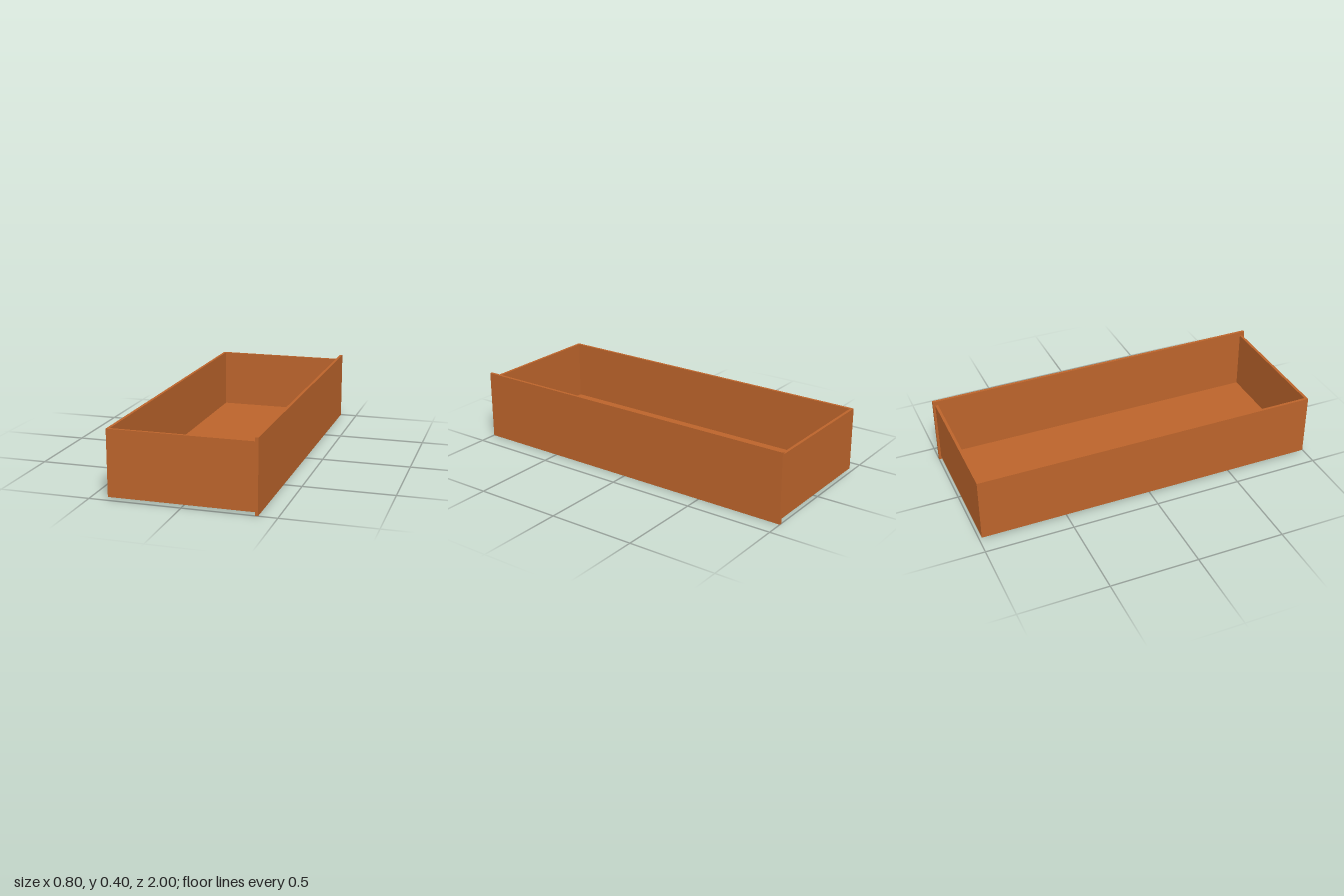
import * as THREE from 'three';

export function createModel() {
  const group = new THREE.Group();
  const wood = new THREE.MeshStandardMaterial({ color: 0xbc642b });
  wood.name = 'brown wood';

  // Box given by its lower and upper corners
  const board = (name, min, max) => {
    const size = max.map((v, i) => v - min[i]);
    const mesh = new THREE.Mesh(new THREE.BoxGeometry(...size), wood);
    mesh.position.set(...max.map((v, i) => (v + min[i]) / 2));
    mesh.name = name;
    group.add(mesh);
  };

  const t = 0.016; // board thickness
  const back = -0.4, panel = 0.384; // tray extent along x
  const low = 0.014, high = 0.376; // tray extent along y
  const half = 0.987; // tray half width along z

  // Overhanging panel that closes the tray on +x
  board('facePanel', [panel, 0, -1], [0.4, 0.4, 1]);

  // Tray: floor, rear wall and the two mirrored end walls
  board('floor', [back + t, low, -half + t], [panel, low + t, half - t]);
  board('rearWall', [back, low, -half], [back + t, high, half]);
  board('nearEndWall', [back + t, low, half - t], [panel, high, half]);
  board('farEndWall', [back + t, low, -half], [panel, high, -half + t]);

  return group;
}
